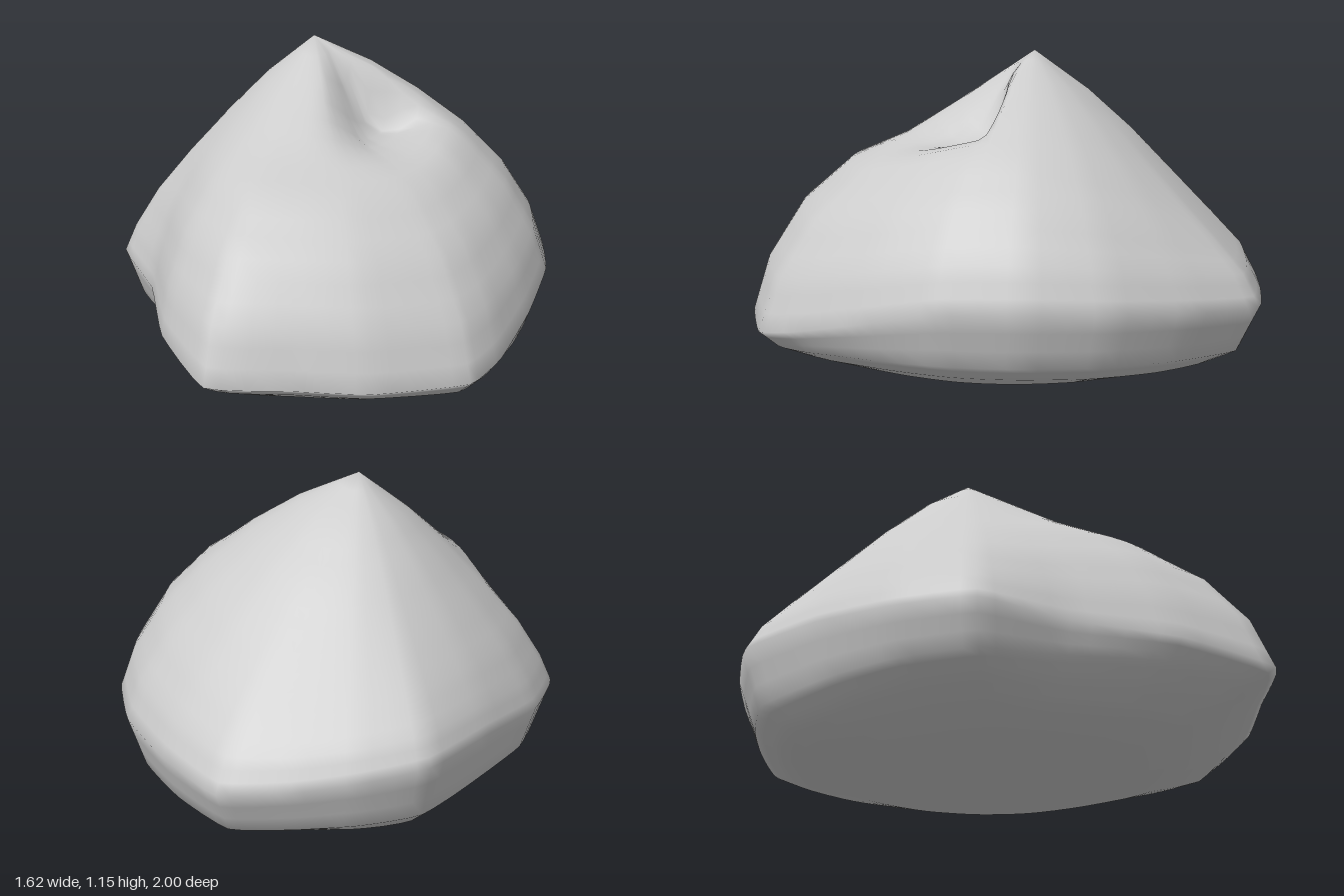
import * as THREE from 'three';
import { mergeVertices } from 'three/addons/utils/BufferGeometryUtils.js';

// Widest outline of the boulder, from the back round by +x to the front
const OUTLINE = [
  [0.27, 0.28, -1], [0.5, 0.3, -0.79], [0.69, 0.32, -0.54], [0.79, 0.33, -0.26],
  [0.81, 0.32, 0.04], [0.75, 0.26, 0.33], [0.66, 0.2, 0.6], [0.56, 0.17, 0.76],
  [0.24, 0.18, 0.9], [-0.03, 0.2, 0.95], [-0.31, 0.22, 1], [-0.52, 0.26, 0.69],
  [-0.64, 0.29, 0.33], [-0.81, 0.32, 0.04], [-0.76, 0.33, -0.26], [-0.61, 0.36, -0.56],
  [-0.43, 0.36, -0.86], [-0.2, 0.33, -0.95], [0.02, 0.3, -0.99],
].map((p) => new THREE.Vector3(...p));

// Profiles from the peak over the widest point to the middle of the underside.
// Heights above the outline are shares of the rise, below it shares of the drop.
const STEPS = [0, 0.25, 0.45, 0.65, 0.82, 0.94, 1, 0.93, 0.83, 0.7, 0.5, 0.25, 0];
const SLOPES = {
  right: [1, 0.88, 0.75, 0.59, 0.4, 0.19, 0, -0.6, -0.78, -0.92, -0.97, -0.96, -0.95],
  left: [1, 0.83, 0.66, 0.47, 0.29, 0.12, 0, -0.5, -0.68, -0.83, -0.97, -0.96, -0.95],
  back: [1, 0.82, 0.64, 0.43, 0.25, 0.12, 0, -0.6, -0.82, -0.9, -0.95, -0.96, -0.95],
  front: [1, 0.81, 0.67, 0.57, 0.41, 0.21, 0, -0.22, -0.48, -0.75, -0.95, -0.95, -0.94],
};
const PEAK = new THREE.Vector3(-0.09, 1.155, -0.12);
const SIDES = OUTLINE.length * 4;
const SUB = 3;
const ROWS = (STEPS.length - 1) * SUB;
const WIDEST = 6 * SUB;

const { smoothstep, lerp } = THREE.MathUtils;

// Straight run between the two nearest entries of a list
function sample(list, row) {
  const i = Math.min(Math.floor(row / SUB), list.length - 2);
  return lerp(list[i], list[i + 1], row / SUB - i);
}

// Scooped hollow: a steep wall at its back, shallowing towards the front
function hollow(x, z) {
  const wall = smoothstep(z, -0.08, 0);
  const fade = 1 - smoothstep(z, -0.05, 0.42);
  const across = smoothstep(x, -0.04, 0.14) * (1 - smoothstep(x, 0.14, 0.46));
  return 0.19 * wall * fade * across;
}

// Shallow dip under the back edge
const dip = (x, z) => 0.03 * Math.exp(-(x * x + (z + 0.65) ** 2) / 0.05);

function boulderGeometry() {
  const outline = new THREE.CatmullRomCurve3(OUTLINE, true, 'catmullrom', 0.2);
  const positions = [];
  const index = [];

  for (let r = 0; r <= ROWS; r++) {
    const s = sample(STEPS, r);
    for (let i = 0; i < SIDES; i++) {
      const o = outline.getPoint(i / SIDES);
      const dx = o.x - PEAK.x, dz = o.z - PEAK.z;
      // Blend the four profiles by direction
      const w = (dx * dx) / (dx * dx + dz * dz);
      const side = sample(SLOPES[dx > 0 ? 'right' : 'left'], r);
      const h = lerp(sample(SLOPES[dz > 0 ? 'front' : 'back'], r), side, w);
      // Corners soften to an oval away from the outline
      const round = lerp(1 / Math.hypot(o.x / 0.8, o.z / 0.97), 1, s * s);
      const ox = o.x * round, oz = o.z * round;
      if (r <= WIDEST) {
        const x = lerp(PEAK.x, ox, s), z = lerp(PEAK.z, oz, s);
        positions.push(x, o.y + (PEAK.y - o.y) * h - hollow(x, z), z);
      } else {
        const x = ox * s, z = oz * s;
        // The middle of the underside levels out to one height
        const y = lerp(0.015, o.y * (1 + h), smoothstep(s, 0, 0.6));
        positions.push(x, y + dip(x, z), z);
      }
    }
  }
  for (let r = 0; r < ROWS; r++) {
    for (let i = 0; i < SIDES; i++) {
      const j = (i + 1) % SIDES;
      const a = r * SIDES + i, b = r * SIDES + j, c = b + SIDES, d = a + SIDES;
      // The first and last rows close to a point
      if (r === 0) index.push(a, c, d);
      else if (r === ROWS - 1) index.push(a, b, d);
      else index.push(a, b, d, b, c, d);
    }
  }
  let geometry = new THREE.BufferGeometry();
  geometry.setAttribute('position', new THREE.Float32BufferAttribute(positions, 3));
  geometry.setIndex(index);
  geometry = mergeVertices(geometry, 1e-5);

  // Settle on the ground
  geometry.computeBoundingBox();
  geometry.translate(0, -geometry.boundingBox.min.y, 0);
  geometry.computeVertexNormals();
  return geometry;
}

export function createModel() {
  const group = new THREE.Group();
  group.name = 'rock';
  const boulder = new THREE.Mesh(boulderGeometry(), new THREE.MeshStandardMaterial({ color: 0xcccccc }));
  boulder.name = 'boulder';
  group.add(boulder);
  return group;
}
